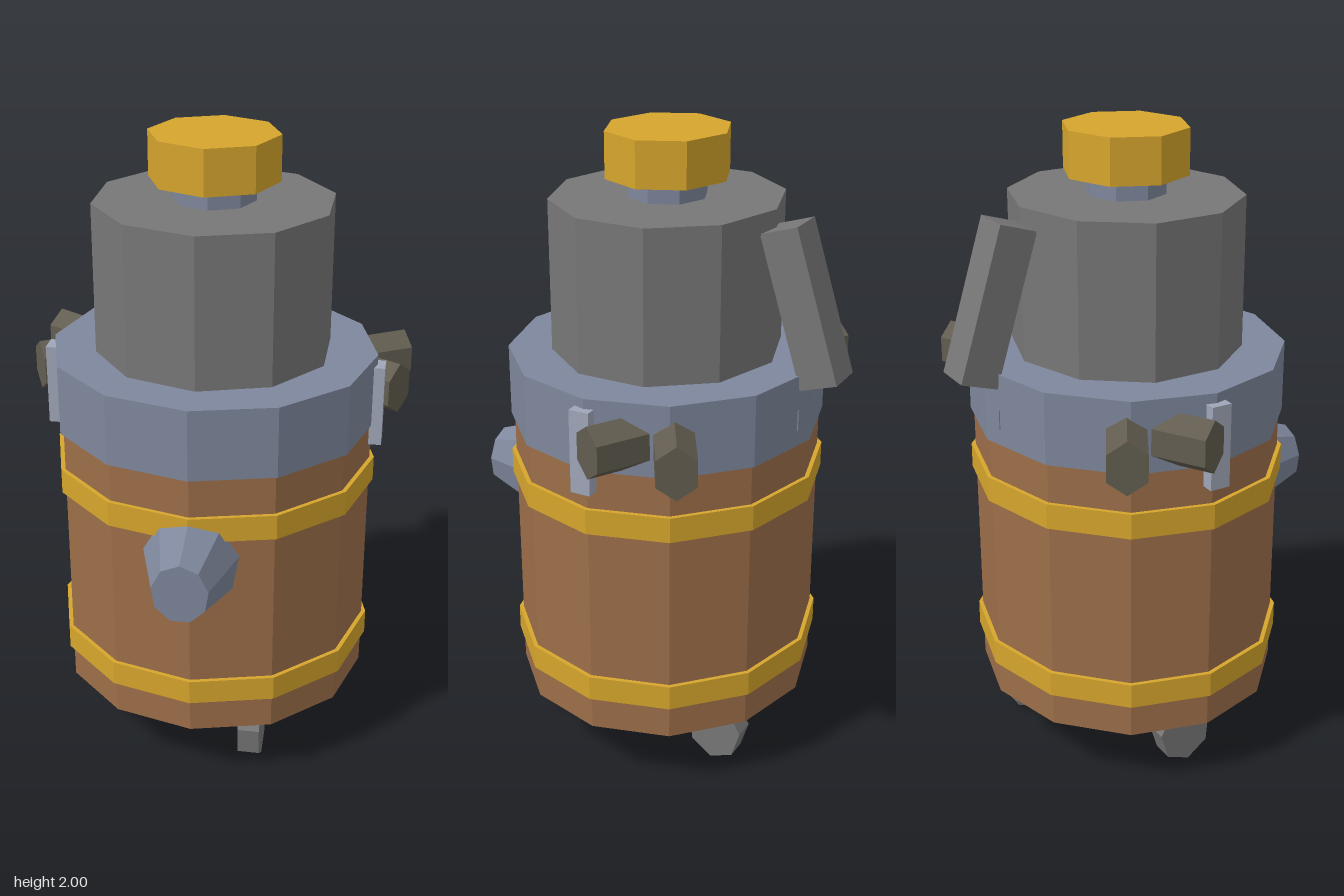
import * as THREE from 'three';

const AXIS_Z = -0.02; // body axis
const DEPTH = 0.955; // round parts are slightly flattened front to back

const material = (color) => new THREE.MeshStandardMaterial({ color, flatShading: true });
const wood = material(0x9c6e49);
const brass = material(0xd6a52c);
const steel = material(0x7e879c);
const paleSteel = material(0x9fa6b8);
const iron = material(0x777777);
const darkIron = material(0x625d50);

export function createModel() {
  const model = new THREE.Group();

  const add = (name, geometry, mat, x = 0, y = 0, z = 0) => {
    const mesh = new THREE.Mesh(geometry, mat);
    mesh.name = name;
    mesh.position.set(x, y, z);
    model.add(mesh);
    return mesh;
  };

  // Upright faceted drum between two heights
  const drum = (name, radius, y0, y1, sides, mat) =>
    add(name, new THREE.CylinderGeometry(radius, radius, y1 - y0, sides).scale(1, 1, DEPTH),
      mat, 0, (y0 + y1) / 2, AXIS_Z);

  // Stacked body
  drum('barrel', 0.497, 0.21, 1.15, 12, wood);
  drum('lowerBand', 0.511, 0.32, 0.4, 12, brass);
  drum('upperBand', 0.511, 0.9, 0.98, 12, brass);
  drum('collar', 0.508, 1.105, 1.33, 12, steel);
  drum('tower', 0.369, 1.3, 1.8, 10, iron);
  drum('neck', 0.127, 1.78, 1.88, 8, steel);
  drum('knob', 0.199, 1.86, 2, 8, brass);

  // Tapered spout on the front
  const spout = new THREE.CylinderGeometry(0.097, 0.18, 0.23, 9)
    .rotateY(Math.PI).rotateX(Math.PI / 2).scale(0.89, 1, 1);
  add('spout', spout, steel, 0, 0.81, 0.495);

  // Leaning handle on the back and its mount
  const handle = add('handle', new THREE.BoxGeometry(0.126, 0.477, 0.12), iron, 0, 1.53, -0.4785);
  handle.rotation.x = 0.304;
  add('handleMount', new THREE.BoxGeometry(0.126, 0.065, 0.08), steel, 0, 1.1875, -0.452);

  // Side plates and pairs of splayed pegs
  for (const side of [1, -1]) {
    const label = side > 0 ? 'left' : 'right';
    add(label + 'Plate', new THREE.BoxGeometry(0.04, 0.26, 0.064), paleSteel, side * 0.512, 1.17, -0.018);
    for (const [name, endZ, dz] of [['FrontPeg', -0.07, 0.5], ['BackPeg', -0.355, -0.5]]) {
      const length = 0.3;
      const dx = side * 0.866;
      const peg = new THREE.CylinderGeometry(0.082, 0.082, length, 6)
        .rotateX(Math.PI / 2).scale(0.82, 1, 1).rotateY(Math.atan2(dx, dz));
      add(label + name, peg, darkIron,
        side * 0.575 - dx * length / 2, 1.2, endZ - dz * length / 2);
    }
  }

  // Three seven-sided disc feet in a triangle
  for (let i = 0; i < 3; i++) {
    const a = Math.PI + i * Math.PI * 2 / 3;
    const foot = new THREE.CylinderGeometry(0.106, 0.106, 0.07, 7)
      .rotateY(THREE.MathUtils.degToRad(174)).rotateZ(Math.PI / 2).scale(1, 1, 0.87);
    add('foot' + (i + 1), foot, iron,
      Math.cos(a) * 0.34, 0.105, AXIS_Z + Math.sin(a) * 0.34 * DEPTH);
  }

  return model;
}
